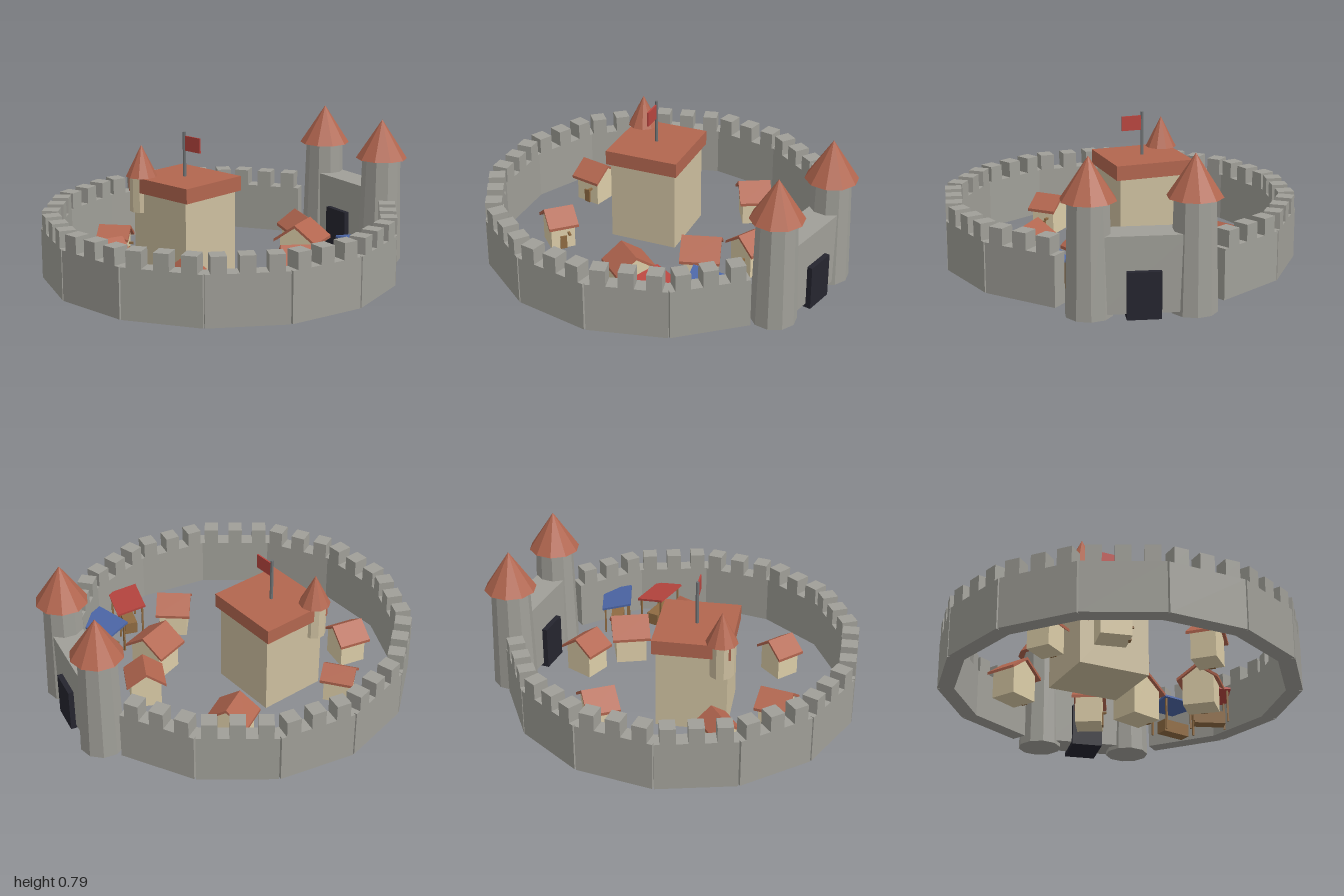
import * as THREE from 'three';

const mat = (name, color) => {
  const m = new THREE.MeshStandardMaterial({ color });
  m.name = name;
  m.flatShading = true;
  return m;
};

export function createModel() {
  const stone = mat('stone', 0xa09f98);
  const plaster = mat('plaster', 0xcdbf9f);
  const cream = mat('cream', 0xdccda8);
  const tile = mat('roofTile', 0xb2664f);
  const dark = mat('darkGate', 0x25252f);
  const wood = mat('wood', 0x8f6b42);
  const iron = mat('iron', 0x6f7274);
  const red = mat('redCloth', 0xb8453f);
  const blue = mat('blueCloth', 0x4c66a6);

  const model = new THREE.Group();
  model.name = 'walledTown';

  const add = (parent, name, geo, material, x = 0, y = 0, z = 0) => {
    const mesh = new THREE.Mesh(geo, material);
    mesh.name = name;
    mesh.position.set(x, y, z);
    parent.add(mesh);
    return mesh;
  };
  // box given by its bottom and top heights
  const box = (parent, name, material, w, y0, y1, d, x = 0, z = 0) =>
    add(parent, name, new THREE.BoxGeometry(w, y1 - y0, d), material, x, (y0 + y1) / 2, z);
  // upright cylinder or cone given by its bottom and top heights
  const drum = (parent, name, material, r0, r1, y0, y1, sides, x = 0, z = 0) =>
    add(parent, name, new THREE.CylinderGeometry(r1, r0, y1 - y0, sides), material, x, (y0 + y1) / 2, z);
  const group = (name, x, z, turn) => {
    const g = new THREE.Group();
    g.name = name;
    g.position.set(x, 0, z);
    g.rotation.y = turn;
    model.add(g);
    return g;
  };

  // Ring wall: 14 sides, two left out for the gate
  const step = (Math.PI * 2) / 14;
  const apothem = 0.886;
  for (let i = 0; i < 14; i++) {
    if (i === 10 || i === 11) continue;
    const a = (i + 0.5) * step;
    const seg = group('wallSegment', Math.cos(a) * apothem, 0.07 + Math.sin(a) * apothem, Math.PI / 2 - a);
    box(seg, 'wall', stone, 0.415, 0.025, 0.29, 0.087);
    for (const k of [-1, 0, 1]) box(seg, 'merlon', stone, 0.079, 0.29, 0.377, 0.087, k * 0.14);
  }

  // Gatehouse with two round towers
  const gate = group('gatehouse', 0.198, -0.802, -0.236);
  box(gate, 'gateWall', stone, 0.44, 0.022, 0.412, 0.165);
  box(gate, 'gateDoor', dark, 0.17, 0, 0.24, 0.222);
  for (const s of [-1, 1]) {
    drum(gate, 'gateTower', stone, 0.12, 0.104, 0, 0.576, 10, s * 0.257);
    drum(gate, 'towerRoof', tile, 0.14, 0, 0.576, 0.79, 10, s * 0.257);
  }

  // Keep with corner turret and flag
  const keep = group('keep', -0.173, 0.167, 0);
  box(keep, 'keepBody', plaster, 0.385, 0, 0.45, 0.375);
  box(keep, 'keepRoof', tile, 0.437, 0.45, 0.53, 0.41);
  drum(keep, 'turret', plaster, 0.065, 0.065, 0.34, 0.53, 10, -0.172, 0.153);
  drum(keep, 'turretRoof', tile, 0.085, 0, 0.53, 0.7, 10, -0.172, 0.153);
  drum(keep, 'flagpole', iron, 0.009, 0.009, 0.53, 0.77, 8);
  box(keep, 'flag', red, 0.11, 0.67, 0.75, 0.008, 0.062);

  // Houses: ridge runs along local z
  const extrude = (points, depth) => {
    const shape = new THREE.Shape(points.map(([x, y]) => new THREE.Vector2(x, y)));
    return new THREE.ExtrudeGeometry(shape, { depth, bevelEnabled: false }).translate(0, 0, -depth / 2);
  };
  const house = (x, z, dx, dz, span, len, ridge, doorOnGable) => {
    const g = group('house', x, z, Math.atan2(dx, dz));
    const h = span / 2, drop = span * 0.36, t = 0.016;
    const w = h * 0.76, d = len * 0.8, base = 0.025;
    const under = ridge - t;
    const eave = under - drop * (w / h);
    add(g, 'houseBody', extrude([[-w, base], [w, base], [w, eave], [0, under], [-w, eave]], d), cream);
    add(g, 'houseRoof', extrude([
      [-h, under - drop], [0, under], [h, under - drop],
      [h, ridge - drop], [0, ridge], [-h, ridge - drop],
    ], len), tile);
    // door and a small beam above it
    const front = new THREE.Group();
    front.name = 'houseFront';
    front.rotation.y = doorOnGable ? 0 : Math.PI / 2;
    g.add(front);
    const face = doorOnGable ? d / 2 : w;
    const edge = doorOnGable ? len / 2 : h;
    box(front, 'houseDoor', wood, 0.036, base, base + 0.075, 0.016, 0, face);
    box(front, 'doorBeam', wood, 0.012, base + 0.085, base + 0.097, edge - face + 0.012, 0.03, (edge + face) / 2);
  };
  house(-0.443, -0.31, 15, 29, 0.23, 0.18, 0.25, false);
  house(0.085, -0.487, 30, 17, 0.21, 0.18, 0.25, true);
  house(0.275, -0.28, 11, 38, 0.245, 0.21, 0.275, false);
  house(0.51, 0.028, 24, -27, 0.225, 0.19, 0.255, true);
  house(-0.545, 0.338, 26, -18, 0.165, 0.178, 0.225, true);
  house(-0.307, 0.608, -8, 33, 0.208, 0.18, 0.25, false);
  house(0.237, 0.572, 21, 22, 0.2, 0.165, 0.24, false);

  // Market stalls with sloping cloth
  const stall = (x, z, turn, cloth) => {
    const g = group('marketStall', x, z, turn);
    add(g, 'awning', new THREE.BoxGeometry(0.225, 0.012, 0.165), cloth, 0, 0.205, 0).rotation.x = -0.2;
    box(g, 'counter', wood, 0.17, 0.03, 0.1, 0.07);
    for (const sx of [-1, 1]) for (const sz of [-1, 1]) {
      box(g, 'stallPost', wood, 0.01, 0.03, 0.2 + sz * 0.012, 0.01, sx * 0.095, sz * 0.065);
    }
  };
  stall(0.577, -0.413, 0.16, blue);
  stall(0.68, -0.18, -0.37, red);

  return model;
}
